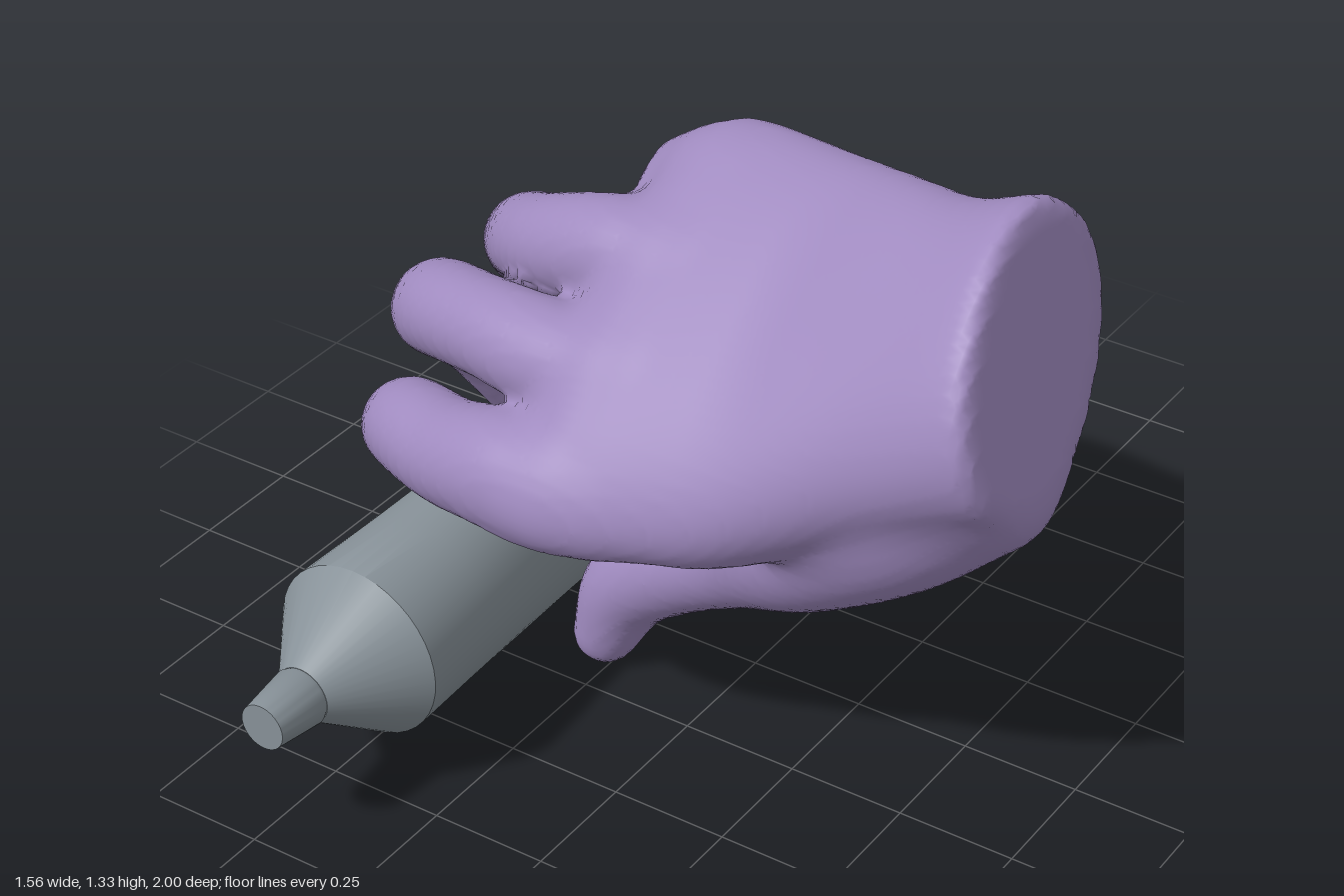
import * as THREE from 'three';
import { toCreasedNormals } from 'three/addons/utils/BufferGeometryUtils.js';

const { lerp, clamp, degToRad } = THREE.MathUtils;

// ---- Hand: one continuous skin around a palm and five fingers ----

// Palm sections: [x, centre y, centre z, half length, back thickness, palm thickness, tilt]
const palmRows = [
  [-0.29, 0.82, 0.20, 0.31, 0.05, 0.03, 53],
  [-0.24, 0.835, 0.20, 0.39, 0.1, 0.06, 53],
  [-0.16, 0.86, 0.197, 0.465, 0.15, 0.08, 53],
  [-0.08, 0.865, 0.19, 0.47, 0.165, 0.09, 52],
  [0.20, 0.883, 0.172, 0.42, 0.195, 0.13, 49],
  [0.48, 0.965, 0.172, 0.33, 0.235, 0.21, 40],
  [0.64, 1.045, 0.178, 0.32, 0.235, 0.235, 38],
  [0.80, 1.10, 0.18, 0.305, 0.23, 0.235, 38],
];

// Finger paths: [x, y, z, radius]
const fingerRows = [
  [[-0.05, 0.655, 0.44, 0.105], [-0.22, 0.65, 0.46, 0.12], [-0.42, 0.6, 0.42, 0.108],
    [-0.6, 0.555, 0.335, 0.097], [-0.685, 0.42, 0.21, 0.078], [-0.665, 0.295, 0.12, 0.058]],
  [[-0.05, 0.84, 0.3, 0.1], [-0.22, 0.82, 0.31, 0.11], [-0.42, 0.81, 0.28, 0.1],
    [-0.64, 0.73, 0.17, 0.1], [-0.7, 0.56, 0.0, 0.08], [-0.685, 0.38, -0.11, 0.061]],
  [[-0.05, 0.98, 0.12, 0.1], [-0.22, 0.97, 0.12, 0.11], [-0.42, 0.905, 0.08, 0.1],
    [-0.575, 0.805, -0.04, 0.09], [-0.635, 0.62, -0.195, 0.075], [-0.62, 0.45, -0.305, 0.06]],
  [[-0.05, 1.06, -0.05, 0.1], [-0.15, 1.045, -0.085, 0.1], [-0.27, 0.955, -0.165, 0.094],
    [-0.35, 0.825, -0.235, 0.083], [-0.345, 0.68, -0.335, 0.072], [-0.312, 0.55, -0.425, 0.058]],
];
const thumbRows = [[0.63, 0.84, 0.23, 0.16], [0.46, 0.705, 0.235, 0.17], [0.26, 0.54, 0.215, 0.142],
  [0.08, 0.41, 0.178, 0.106], [-0.09, 0.3, 0.152, 0.098], [-0.22, 0.188, 0.132, 0.095], [-0.27, 0.066, 0.145, 0.068]];

// Dense balls [x, y, z, radius] along a smooth path
function balls(rows) {
  const path = new THREE.CatmullRomCurve3(rows.map(r => new THREE.Vector3(r[0], r[1], r[2])));
  const size = new THREE.CatmullRomCurve3(rows.map(r => new THREE.Vector3(r[3], 0, 0)), false, 'catmullrom');
  return Array.from({ length: 46 }, (_, i) => [...path.getPoint(i / 45), size.getPoint(i / 45).x]);
}

function ballDistance(list, x, y, z) {
  let d = 9;
  for (const b of list) d = Math.min(d, Math.sqrt((x - b[0]) ** 2 + (y - b[1]) ** 2 + (z - b[2]) ** 2) - b[3]);
  return d;
}

function sectionAt(x) {
  const px = clamp(x, palmRows[0][0], palmRows[palmRows.length - 1][0]);
  const k = Math.max(1, palmRows.findIndex(r => r[0] >= px));
  const lo = palmRows[k - 1], hi = palmRows[k];
  return lo.map((v, i) => lerp(v, hi[i], (px - lo[0]) / (hi[0] - lo[0])));
}

// Section averaged over a short stretch, so the palm has no ridges; one per x is kept
const sections = new Map();
function smoothSection(x) {
  if (!sections.has(x)) {
    const near = [-0.05, -0.025, 0, 0.025, 0.05].map(d => sectionAt(x + d));
    sections.set(x, near[0].map((_, i) => near.reduce((s, r) => s + r[i] / near.length, 0)));
  }
  return sections.get(x);
}

function palmDistance(x, y, z) {
  const [, cy, cz, a, back, front, deg] = smoothSection(x);
  const c = Math.cos(degToRad(deg)), s = Math.sin(degToRad(deg));
  const u = s * (z - cz) - c * (y - cy), v = -s * (y - cy) - c * (z - cz);
  const b = v > 0 ? front : back;
  const r = (Math.abs(u / a) ** 2.25 + Math.abs(v / b) ** 2.25) ** (1 / 2.25);
  return Math.max((r - 1) * Math.max(0.06, Math.min(a, b)), palmRows[0][0] - x);
}

// Minimum of two distances with a soft fillet of width k
function blend(a, b, k) {
  const h = Math.max(k - Math.abs(a - b), 0) / k;
  return Math.min(a, b) - h * h * k / 4;
}

function handField() {
  const fingers = fingerRows.flatMap(balls), thumb = balls(thumbRows);
  return (x, y, z) => {
    const palm = blend(palmDistance(x, y, z), ballDistance(fingers, x, y, z), 0.04);
    const whole = blend(palm, ballDistance(thumb, x, y, z), 0.04);
    // slanted cut through the wrist with a softened rim
    return -blend(-whole, -(x - 0.715 + 0.245 * (y - 1.07)) / 1.03, 0.035);
  };
}

// Skin of a distance field: one vertex per crossed grid cell, one quad per crossed grid edge
function skinGeometry(field, min, max, h) {
  const n = min.map((m, i) => Math.ceil((max[i] - m) / h) + 1);
  const stride = [1, n[0], n[0] * n[1]], total = n[0] * n[1] * n[2];
  const coord = id => [id % n[0], Math.floor(id / n[0]) % n[1], Math.floor(id / stride[2])];
  const value = new Float32Array(total), vertex = new Int32Array(total).fill(-1);
  for (let id = 0; id < total; id++) value[id] = field(...coord(id).map((c, i) => min[i] + c * h));

  const pos = [], idx = [];
  for (let id = 0; id < total; id++) {
    const at = coord(id);
    if (at.some((c, i) => c >= n[i] - 1)) continue;
    const sum = [0, 0, 0];
    let hits = 0;
    for (let a = 0; a < 3; a++) {
      const b = (a + 1) % 3, c = (a + 2) % 3;
      for (let m = 0; m < 4; m++) {
        const p = id + (m & 1) * stride[b] + (m >> 1) * stride[c];
        const v0 = value[p], v1 = value[p + stride[a]];
        if ((v0 < 0) === (v1 < 0)) continue;
        sum[a] += v0 / (v0 - v1);
        sum[b] += m & 1;
        sum[c] += m >> 1;
        hits++;
      }
    }
    if (!hits) continue;
    vertex[id] = pos.length / 3;
    pos.push(...at.map((c, i) => min[i] + (c + sum[i] / hits) * h));
  }
  for (let id = 0; id < total; id++) {
    if (vertex[id] < 0) continue;
    for (let a = 0; a < 3; a++) {
      const inside = value[id] < 0;
      if (inside === (value[id + stride[a]] < 0)) continue;
      const sb = stride[(a + 1) % 3], sc = stride[(a + 2) % 3];
      const q = [id, id - sb, id - sb - sc, id - sc].map(i => vertex[i]);
      if (!inside) q.reverse();
      idx.push(q[0], q[1], q[2], q[0], q[2], q[3]);
    }
  }
  const g = new THREE.BufferGeometry();
  g.setAttribute('position', new THREE.Float32BufferAttribute(pos, 3));
  g.setIndex(idx);
  g.computeVertexNormals();
  return g;
}

// ---- Squeeze tube: elliptical sections [z, half width, half height], nozzle end first ----

function tubeGeometry(rows) {
  const sides = 40, pos = [], idx = [];
  const all = [[rows[0][0], 0, 0], ...rows, [rows[rows.length - 1][0], 0, 0]];
  all.forEach(([z, w, h], i) => {
    for (let j = 0; j < sides; j++) {
      const t = j / sides * Math.PI * 2;
      pos.push(-0.453 + w * Math.cos(t), 0.293 + h * Math.sin(t), z);
      if (i === 0) continue;
      const a = (i - 1) * sides + j, b = (i - 1) * sides + (j + 1) % sides;
      idx.push(a, a + sides, b, b, a + sides, b + sides);
    }
  });
  const g = new THREE.BufferGeometry();
  g.setAttribute('position', new THREE.Float32BufferAttribute(pos, 3));
  g.setIndex(idx);
  return toCreasedNormals(g, 0.6);
}

export function createModel() {
  const model = new THREE.Group();
  const skin = new THREE.MeshStandardMaterial({ color: 0xa08bc0 });
  const metal = new THREE.MeshStandardMaterial({ color: 0x879198 });
  const add = (name, geometry, material) => {
    const mesh = new THREE.Mesh(geometry, material);
    mesh.name = name;
    model.add(mesh);
  };

  add('hand', skinGeometry(handField(), [-0.85, -0.05, -0.55], [0.85, 1.42, 0.65], 0.017), skin);

  // round at the shoulder, narrowing to a flat crimped end
  const body = Array.from({ length: 9 }, (_, i) =>
    [lerp(0.71, -0.8, i / 8), lerp(0.187, 0.065, i / 8), lerp(0.187, 0.26, i / 8)]);
  add('tubeBody', tubeGeometry([[0.88, 0.06, 0.06], ...body, [-0.92, 0.008, 0.26], [-1, 0.006, 0.26]]), metal);
  add('nozzle', tubeGeometry([[1, 0.049, 0.049], [0.89, 0.063, 0.063], [0.87, 0.055, 0.055]]), metal);
  return model;
}
